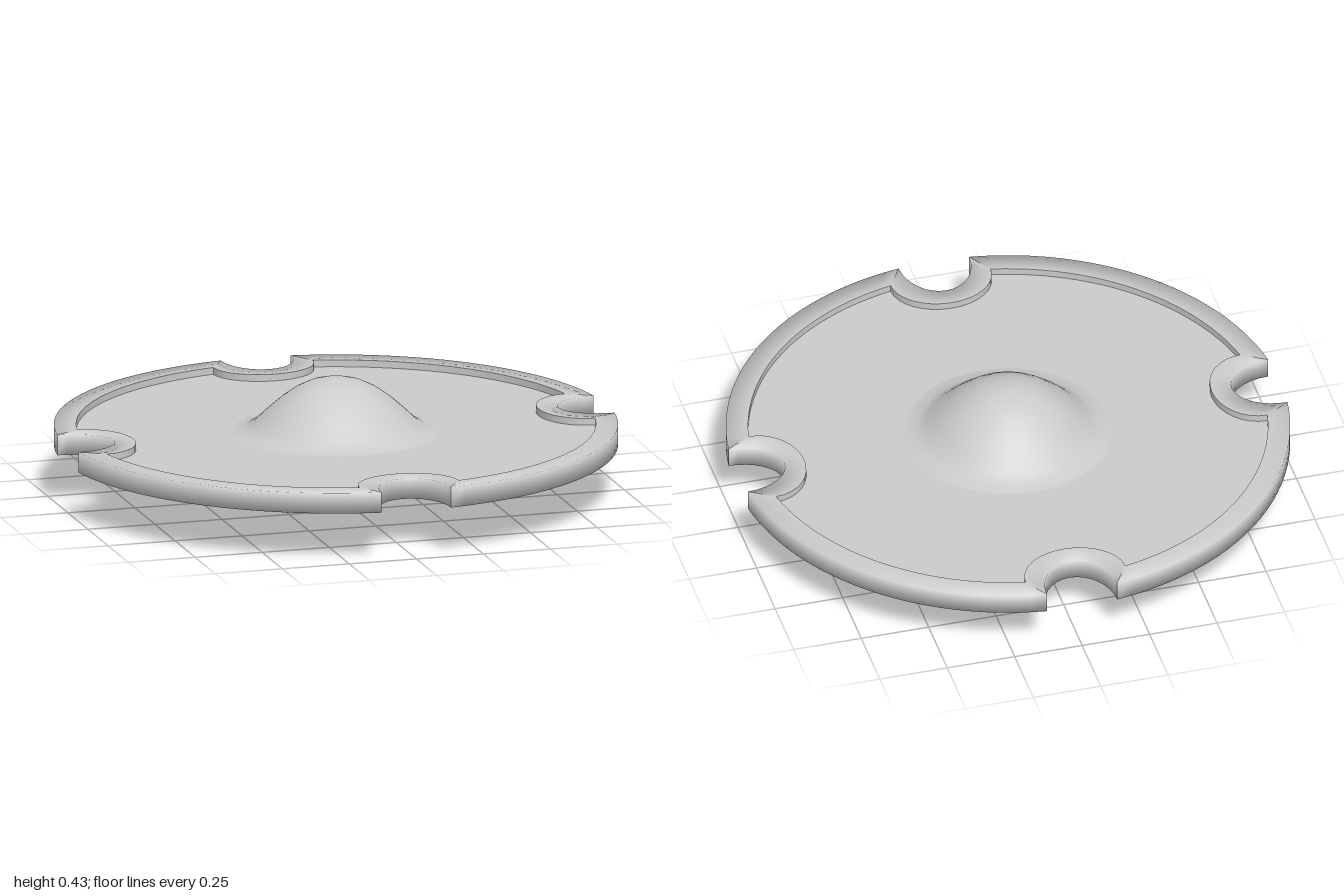
import * as THREE from 'three';

const material = new THREE.MeshStandardMaterial({ color: 0xcccccc, side: THREE.DoubleSide });

// Scalloped outline: four notches joined by four arcs, as [x, z] runs.
// d = distance of the notch mouth from the centre, w = its half width, h = its depth.
function outlineRuns(d, w, h) {
  const runs = [];
  const radius = Math.hypot(d, w), corner = Math.atan2(w, d);
  for (let q = 0; q < 4; q++) {
    const c = Math.cos(q * Math.PI / 2), s = Math.sin(q * Math.PI / 2);
    const turn = (x, z) => [x * c + z * s, z * c - x * s];
    const notch = [], arc = [];
    for (let i = 0; i <= 16; i++) {
      const a = Math.PI * i / 16;
      notch.push(turn(-w * Math.cos(a), d - h * Math.sin(a)));
    }
    for (let i = 0; i <= 24; i++) {
      const a = corner + (Math.PI / 2 - 2 * corner) * i / 24;
      arc.push(turn(radius * Math.sin(a), radius * Math.cos(a)));
    }
    runs.push(notch, arc);
  }
  return runs;
}

// Surface through rows of [x, y, z] points, smooth within itself
function strip(rows) {
  const n = rows[0].length, index = [];
  for (let i = 0; i < rows.length - 1; i++) {
    for (let j = 0; j < n - 1; j++) {
      const a = i * n + j, b = a + 1, c = a + n, e = c + 1;
      index.push(a, b, c, b, e, c);
    }
  }
  const geometry = new THREE.BufferGeometry();
  geometry.setAttribute('position', new THREE.Float32BufferAttribute(rows.flat(2), 3));
  geometry.setIndex(index);
  geometry.computeVertexNormals();
  return geometry;
}

export function createModel() {
  const model = new THREE.Group();
  const add = (name, geometry, parent = model) => {
    const mesh = new THREE.Mesh(geometry, material);
    mesh.name = name;
    parent.add(mesh);
    return mesh;
  };

  const outer = outlineRuns(1, 0.13, 0.17);
  const inner = outlineRuns(0.91, 0.185, 0.155);
  const low = 0.18, high = 0.255;

  // Raised rim, softly shaded outside with a crisp inner wall
  const rim = new THREE.Group();
  rim.name = 'rim';
  model.add(rim);
  outer.forEach((run, k) => {
    const part = k % 2 ? 'rimArc' : 'rimNotch';
    add(part, strip(run.map(([x, z], i) => {
      const [u, v] = inner[k][i];
      return [[u, high, v], [x, high, z], [x, low, z], [u, low, v]];
    })), rim);
    add(part + 'InnerWall', strip(inner[k].map(([u, v]) => [[u, low, v], [u, high, v]])), rim);
  });

  // Flat shield plate with a central opening
  const points = inner.flatMap(run => run.slice(0, -1)).map(([x, z]) => new THREE.Vector2(x, z));
  const plateShape = new THREE.Shape(points);
  plateShape.holes.push(new THREE.Path().absarc(0, 0, 0.37, 0, Math.PI * 2, true));
  const plate = new THREE.ExtrudeGeometry(plateShape, { depth: 0.025, bevelEnabled: false, curveSegments: 48 });
  plate.rotateX(Math.PI / 2).translate(0, 0.23, 0);
  add('plate', plate);

  // Hollow central boss with a flared foot
  const profile = [[0.373, 0.23], [0.33, 0.238], [0.295, 0.258], [0.25, 0.302], [0.2, 0.346],
    [0.15, 0.382], [0.1, 0.407], [0.05, 0.421], [0, 0.425]];
  add('boss', new THREE.LatheGeometry(profile.map(p => new THREE.Vector2(...p)), 48));

  // Strap handle across the back
  const under = [[0.15, 0], [0.24, 0.022], [0.34, 0.092], [0.41, 0.17], [0.49, 0.179]];
  const over = [[0.49, 0.207], [0.385, 0.197], [0.31, 0.11], [0.225, 0.055], [0.15, 0.037]];
  const half = [...under, ...over];
  const mirrored = half.map(([x, y]) => [-x, y]).reverse();
  const handleShape = new THREE.Shape([...half, ...mirrored].map(p => new THREE.Vector2(...p)));
  const handle = new THREE.ExtrudeGeometry(handleShape, { depth: 0.07, bevelEnabled: false });
  add('handle', handle.translate(0, 0, -0.035));

  return model;
}
